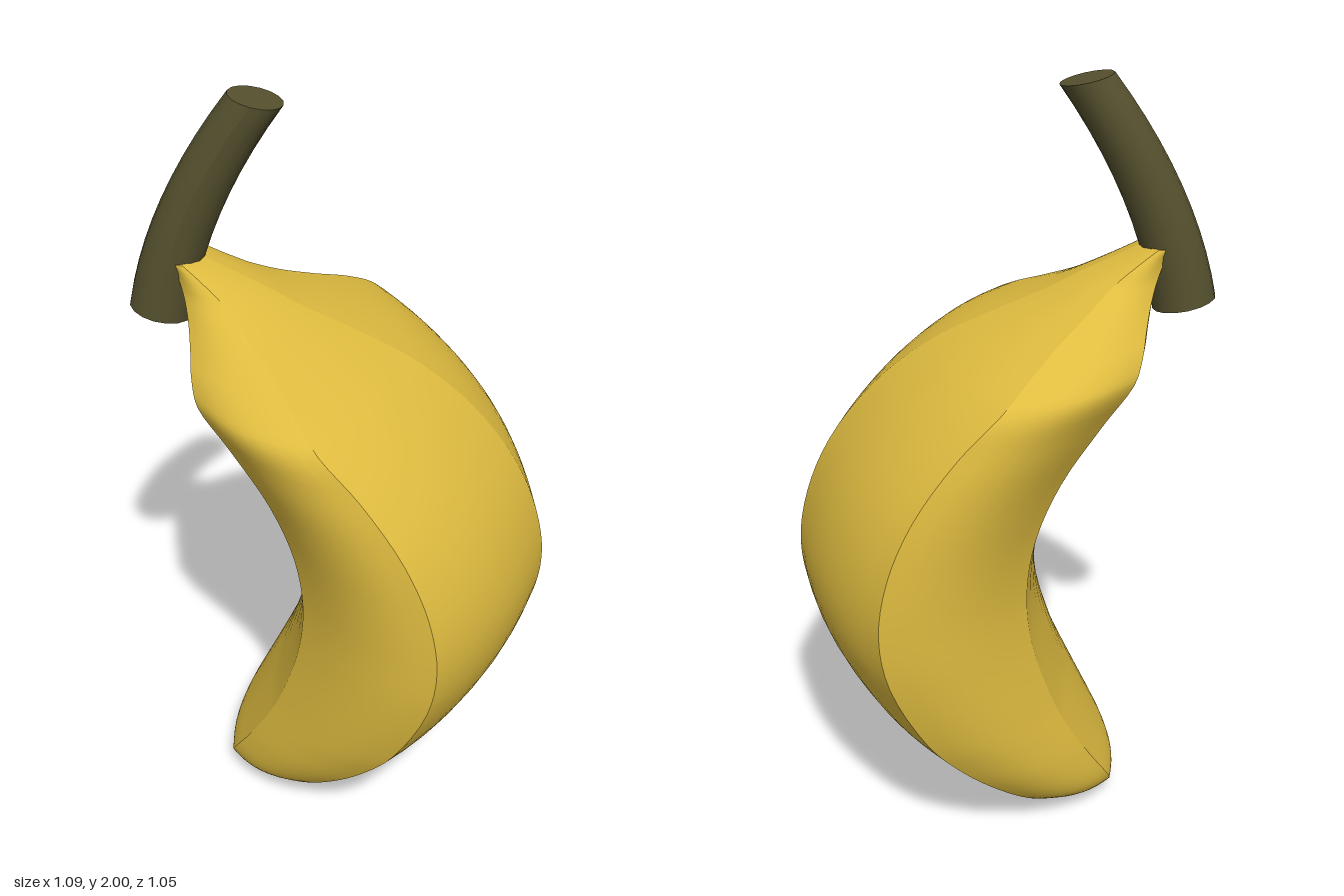
import * as THREE from 'three';

const mat = (name, color) => {
  const m = new THREE.MeshStandardMaterial({ color });
  m.name = name;
  return m;
};

// Height, inner x, outer x, half width of the fruit
const sections = [
  [0.02, -0.3, -0.12, 0.13], [0.05, -0.32, -0.03, 0.22], [0.1, -0.31, 0.07, 0.29],
  [0.2, -0.26, 0.21, 0.37], [0.3, -0.21, 0.325, 0.425], [0.4, -0.165, 0.41, 0.465],
  [0.6, -0.105, 0.515, 0.512], [0.75, -0.09, 0.54, 0.525], [0.9, -0.11, 0.515, 0.525],
  [1.05, -0.17, 0.45, 0.515], [1.2, -0.27, 0.335, 0.49], [1.3, -0.345, 0.215, 0.46],
  [1.35, -0.365, 0.13, 0.39], [1.4, -0.375, 0.02, 0.29], [1.45, -0.385, -0.1, 0.2],
  [1.5, -0.4, -0.2, 0.13], [1.55, -0.42, -0.31, 0.09], [1.575, -0.44, -0.36, 0.075],
];
const SIDES = 5, CELLS = 8, ROWS = 68;
const STEP = (Math.PI * 2) / SIDES;

// Bulging pentagon: halfway between a pentagon and a circle
const BULGE = 0.55;
function ringPoint([y, xi, xo, w], side, k) {
  const local = (k / CELLS) * STEP;
  const a = side * STEP + local;
  const r = BULGE + ((1 - BULGE) * Math.cos(STEP / 2)) / Math.cos(local - STEP / 2);
  const rx = (xo - xi) / (1 + BULGE + (1 - BULGE) * Math.cos(STEP / 2));
  return [xo - rx + rx * r * Math.cos(a), y, (w / Math.sin(STEP)) * r * Math.sin(a)];
}

function build(pos, idx) {
  const g = new THREE.BufferGeometry();
  g.setAttribute('position', new THREE.Float32BufferAttribute(pos, 3));
  g.setIndex(idx);
  g.computeVertexNormals();
  return g;
}

// Peel: five smooth strips meeting in creased ridges
function peelGeometry() {
  const shape = new THREE.CatmullRomCurve3(sections.map(([y, xi, xo]) => new THREE.Vector3(xi, y, xo)));
  const width = new THREE.CatmullRomCurve3(sections.map(([y, , , w]) => new THREE.Vector3(w, y, 0)));
  const pos = [], idx = [], n = CELLS + 1;
  for (let s = 0; s < SIDES; s++) {
    const base = pos.length / 3;
    for (let i = 0; i <= ROWS; i++) {
      const p = shape.getPoint(i / ROWS), w = width.getPoint(i / ROWS).x;
      for (let k = 0; k <= CELLS; k++) pos.push(...ringPoint([p.y, p.x, p.z, w], s, k));
    }
    for (let i = 0; i < ROWS; i++) {
      for (let k = 0; k < CELLS; k++) {
        const a = base + i * n + k, b = a + 1, c = a + n, d = c + 1;
        idx.push(a, c, b, b, c, d);
      }
    }
  }
  return build(pos, idx);
}

// Fan closing one end of the peel
function endCap(section, centreY, up) {
  const pos = [(section[1] + section[2]) / 2, centreY, 0], idx = [], n = SIDES * CELLS;
  for (let j = 0; j < n; j++) pos.push(...ringPoint(section, Math.floor(j / CELLS), j % CELLS));
  for (let j = 0; j < n; j++) {
    const a = 1 + j, b = 1 + ((j + 1) % n);
    idx.push(0, up ? b : a, up ? a : b);
  }
  return build(pos, idx);
}

// Stem: tapered cylinder bent along a quadratic curve, ends cut at a slant
function stemGeometry() {
  const g = new THREE.CylinderGeometry(0.067, 0.08, 1, 16, 10);
  g.translate(0, 0.5, 0);
  const p = g.attributes.position;
  for (let i = 0; i < p.count; i++) {
    const x = p.getX(i), t = p.getY(i);
    p.setX(i, x - 0.47 + 0.1 * t + 0.16 * t * t);
    p.setY(i, 1.418 + 0.567 * t - 0.22 * x);
  }
  g.computeVertexNormals();
  return g;
}

export function createModel() {
  const yellow = mat('peelYellow', 0xdfbc40);
  const olive = mat('stemOlive', 0x55502e);
  const brown = mat('tipBrown', 0x4a3f20);
  const group = new THREE.Group();
  group.name = 'banana';
  const add = (name, geometry, material) => {
    const mesh = new THREE.Mesh(geometry, material);
    mesh.name = name;
    group.add(mesh);
  };
  const top = sections[sections.length - 1];
  add('peel', peelGeometry(), yellow);
  add('neckTop', endCap(top, top[0], true), yellow);
  add('bottomTip', endCap(sections[0], 0, false), brown);
  add('stem', stemGeometry(), olive);
  return group;
}
